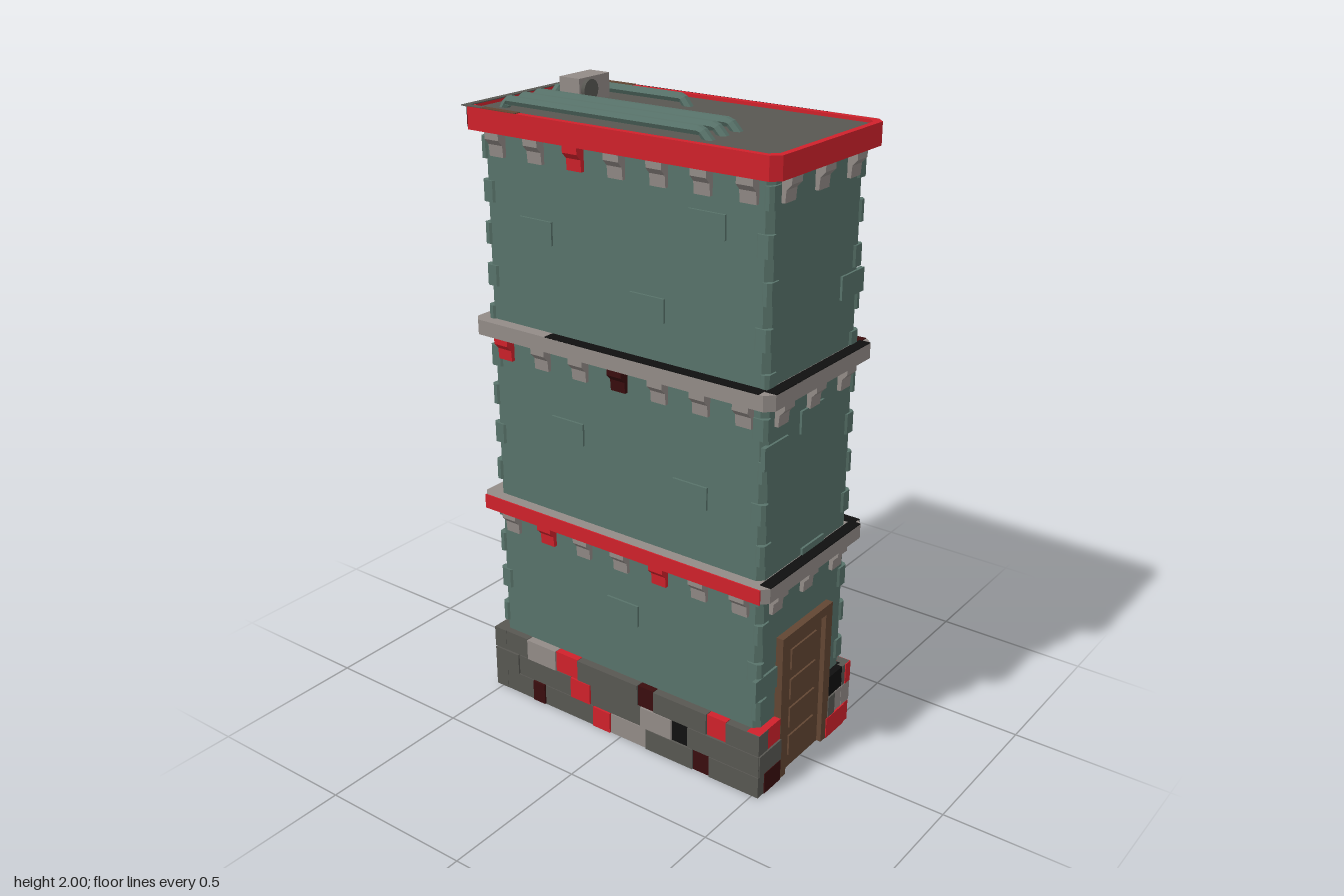
import * as THREE from 'three';

const M = {};
const colours = {
  t: ['sandGreen', 0x58736a], l: ['lightStone', 0x928b87], d: ['darkStone', 0x585752],
  r: ['red', 0xd0212b], m: ['maroon', 0x3a0d0e], k: ['black', 0x101010], b: ['brown', 0x624633],
};
for (const [key, [name, color]] of Object.entries(colours)) {
  M[key] = new THREE.MeshStandardMaterial({ color });
  M[key].name = name;
}

function add(parent, name, geometry, key, x = 0, y = 0, z = 0) {
  const mesh = new THREE.Mesh(geometry, M[key]);
  mesh.name = name;
  mesh.position.set(x, y, z);
  parent.add(mesh);
  return mesh;
}
const box = (w, h, d) => new THREE.BoxGeometry(w, h, d);

// Rectangle with cut corners, half sizes w and d
function octPoints(w, d, c) {
  return [[w, c - d], [w, d - c], [w - c, d], [c - w, d], [-w, d - c], [-w, c - d], [c - w, -d], [w - c, -d]]
    .map(([x, y]) => new THREE.Vector2(x, y));
}
function octPrism(w, d, c, h, hole) {
  const shape = new THREE.Shape(octPoints(w, d, c));
  if (hole) shape.holes.push(new THREE.Path(octPoints(...hole)));
  return new THREE.ExtrudeGeometry(shape, { depth: h, bevelEnabled: false }).rotateX(-Math.PI / 2);
}

// Bracket under a cornice: stepped profile, flush with the wall at its back
function corbelGeometry() {
  const p = [[0, 0], [0.013, 0], [0.016, 0.035], [0.032, 0.052], [0.032, 0.077], [0, 0.077]];
  const shape = new THREE.Shape(p.map(([x, y]) => new THREE.Vector2(x, y)));
  return new THREE.ExtrudeGeometry(shape, { depth: 0.052, bevelEnabled: false })
    .translate(0, 0, -0.026).rotateY(-Math.PI / 2);
}

// Hexagonal roof pipe along straight runs, flat shaded
function pipeGeometry(points) {
  const curve = new THREE.CatmullRomCurve3(points.map((p) => new THREE.Vector3(...p)), false, 'catmullrom', 0);
  const g = new THREE.TubeGeometry(curve, 60, 0.0145, 6, false).toNonIndexed();
  g.computeVertexNormals();
  return g;
}

// Each side is read left to right when facing it.
// courses: colour code + width in hundredths; corbels: colour per level, low to high
// bricks: [centre, y]; faces and tops: [level, colour, from, to] on the cornices
const SIDES = {
  front: {
    angle: 0, half: 0.235, dist: 0.498,
    courses: ['r3 m9 .27 r11 d3', 'd12 .27 d4 l9', 'r12 .27 k9 r3'],
    corbels: ['lll', 'lll', 'lll'],
    bricks: [[0.19, 1.485], [-0.185, 1.095], [0, 1.143], [0.03, 0.70], [-0.2, 0.36]],
    faces: [], tops: [[0, 'k', -0.25, 0.25], [1, 'k', -0.25, 0.25]],
  },
  right: {
    angle: Math.PI / 2, half: 0.498, dist: 0.235,
    courses: ['r12 d26 k17 m4 l16 r7 m5 d13 m4', 'l6 d25 l12 l39 k4 m5 d12', 'd12 r7 m6 d25 l13 r12 d29'],
    corbels: ['rrlllll', 'llllllr', 'lllrlrr'],
    bricks: [[0.2, 1.697], [0.44, 1.483], [0, 1.428], [0.15, 1.05], [0.25, 0.98], [0.1, 0.42]],
    faces: [[0, 'k', -0.52, 0.345], [2, 'l', -0.51, -0.35], [2, 'k', -0.35, 0.51]],
    tops: [[0, 'k', -0.52, 0.345], [1, 'm', -0.51, 0.1], [1, 'k', 0.1, 0.35],
      [2, 'b', 0.33, 0.46], [2, 'd', 0.46, 0.53]],
  },
  back: {
    angle: Math.PI, half: 0.235, dist: 0.498,
    courses: ['d16 l9 m5 d24', 'd9 l13 d20 d12', 'r12 d18 l10 d14'],
    corbels: ['lll', 'lmr', 'lll'],
    bricks: [[0, 1.65], [-0.15, 1.5], [0.05, 1.05], [-0.08, 0.45], [0.15, 0.85]],
    faces: [[2, 'k', 0.22, 0.25]], tops: [[2, 'd', -0.274, 0.274]],
  },
  left: {
    angle: -Math.PI / 2, half: 0.498, dist: 0.235,
    courses: ['d16 m5 d20 r7 l14 d18 m6 d18', 'd10 d22 r8 d20 l12 k6 d26', 'd14 l12 r9 d24 m6 d20 r7 d12'],
    corbels: ['lrllrll', 'rllmlll', 'llrllll'],
    bricks: [[-0.3, 1.6], [0.1, 1.45], [0.3, 1.72], [-0.2, 1.0], [0.25, 0.92], [0, 0.45]],
    faces: [[0, 'r', -0.52, 0.52]],
    tops: [[1, 'k', -0.25, 0.5], [2, 'd', -0.53, -0.46], [2, 'b', -0.46, -0.33]],
  },
};
const LEVELS = [{ y: 0.665, h: 0.047, key: 'l' }, { y: 1.25, h: 0.047, key: 'l' }, { y: 1.872, h: 0.066, key: 'r' }];

function buildSide(name, s) {
  const side = new THREE.Group();
  side.name = name + 'Side';
  side.rotation.y = s.angle;

  // Stone base courses
  s.courses.forEach((row, r) => {
    const items = row.split(' ').map((t) => [t[0], t[0] === '.' ? 0.27 : Number(t.slice(1)) / 100]);
    const total = items.reduce((sum, i) => sum + i[1], 0);
    const scale = (2 * s.half + 0.05) / total;
    let u = -s.half - 0.025;
    items.forEach(([key, w], i) => {
      const width = w * scale;
      const depth = 0.045 + 0.004 * ((i + r) % 2);
      if (key !== '.') add(side, 'baseStone', box(width - 0.002, 0.071, depth), key, u + width / 2, 0.036 + r * 0.0735, s.dist + depth / 2 - 0.022);
      u += width;
    });
  });

  // Corbels and painted cornice strips
  const corbel = corbelGeometry();
  LEVELS.forEach((level, i) => {
    const keys = [...s.corbels[i]];
    const step = keys.length === 3 ? 0.165 : 0.1445;
    keys.forEach((key, n) => add(side, 'corbel', corbel, key, (n - (keys.length - 1) / 2) * step, level.y - 0.074, s.dist - 0.001));
    const edge = s.dist + 0.04;
    for (const [lv, key, a, b] of s.faces) {
      if (lv === i) add(side, 'corniceFace', box(b - a, level.h, 0.004), key, (a + b) / 2, level.y + level.h / 2, edge);
    }
    for (const [lv, key, a, b] of s.tops) {
      const deep = i === 2 ? 0.021 : 0.036;
      if (lv === i) add(side, 'corniceTop', box(b - a - 0.002, 0.003, deep), key, (a + b) / 2, level.y + level.h + 0.0005, edge - deep / 2);
    }
  });

  // Raised wall bricks
  for (const [u, y] of s.bricks) add(side, 'wallBrick', box(0.12, 0.07, 0.014), 't', u, y, s.dist);
  return side;
}

function buildDoor() {
  const door = new THREE.Group();
  door.name = 'door';
  for (const x of [-0.1275, 0.115]) add(door, 'doorPost', box(0.036, 0.49, 0.05), 'b', x, 0.245, 0.497);
  add(door, 'doorLintel', box(0.21, 0.03, 0.05), 'b', -0.007, 0.475, 0.497);
  add(door, 'doorLeaf', box(0.21, 0.46, 0.02), 'b', -0.007, 0.23, 0.496);
  for (const y of [0.08, 0.18, 0.28, 0.385]) add(door, 'doorPanel', box(0.14, 0.07, 0.008), 'b', -0.007, y, 0.508);
  return door;
}

function buildRoof() {
  const roof = new THREE.Group();
  roof.name = 'roof';
  add(roof, 'roofDeck', octPrism(0.257, 0.52, 0.022, 0.05), 'd', 0, 1.878, 0);
  for (const x of [-0.18, -0.115, -0.05]) {
    add(roof, 'roofPipe', pipeGeometry([[x, 1.92, -0.46], [x, 1.95, -0.44], [x, 1.95, 0.24], [x, 1.92, 0.27]]), 't');
  }
  add(roof, 'bentPipe', pipeGeometry([[0.012, 1.92, -0.437], [0.03, 1.95, -0.437], [0.11, 1.95, -0.43],
    [0.14, 1.95, -0.405], [0.145, 1.95, -0.37], [0.145, 1.95, -0.06], [0.145, 1.92, -0.035]]), 't');
  add(roof, 'ventBox', box(0.138, 0.074, 0.074), 'l', 0.048, 1.963, -0.345);
  add(roof, 'ventFan', new THREE.CylinderGeometry(0.032, 0.032, 0.014, 16).rotateX(Math.PI / 2), 'd', 0.018, 1.964, -0.302);
  return roof;
}

export function createModel() {
  const model = new THREE.Group();
  model.name = 'tower';
  add(model, 'walls', octPrism(0.235, 0.498, 0.018, 1.88), 't');

  // Corner blocks, alternately long along x and z
  for (const [sx, sz] of [[1, 1], [1, -1], [-1, 1], [-1, -1]]) {
    for (let i = 0; i < 13; i++) {
      const y = 0.25 + i * 0.128;
      const w = i % 2 ? 0.016 : 0.026, d = i % 2 ? 0.026 : 0.016;
      add(model, 'cornerBlock', octPrism(w, d, 0.01, 0.064), 't', sx * (0.241 - w), y, sz * (0.504 - d));
    }
  }

  // Cornices; the top one is a lip around the roof deck
  LEVELS.forEach((level, i) => {
    const hole = i === 2 ? [0.255, 0.518, 0.022] : null;
    add(model, 'cornice', octPrism(0.275, 0.538, 0.025, level.h, hole), level.key, 0, level.y, 0);
  });

  for (const [name, s] of Object.entries(SIDES)) model.add(buildSide(name, s));
  model.add(buildDoor(), buildRoof());
  return model;
}
